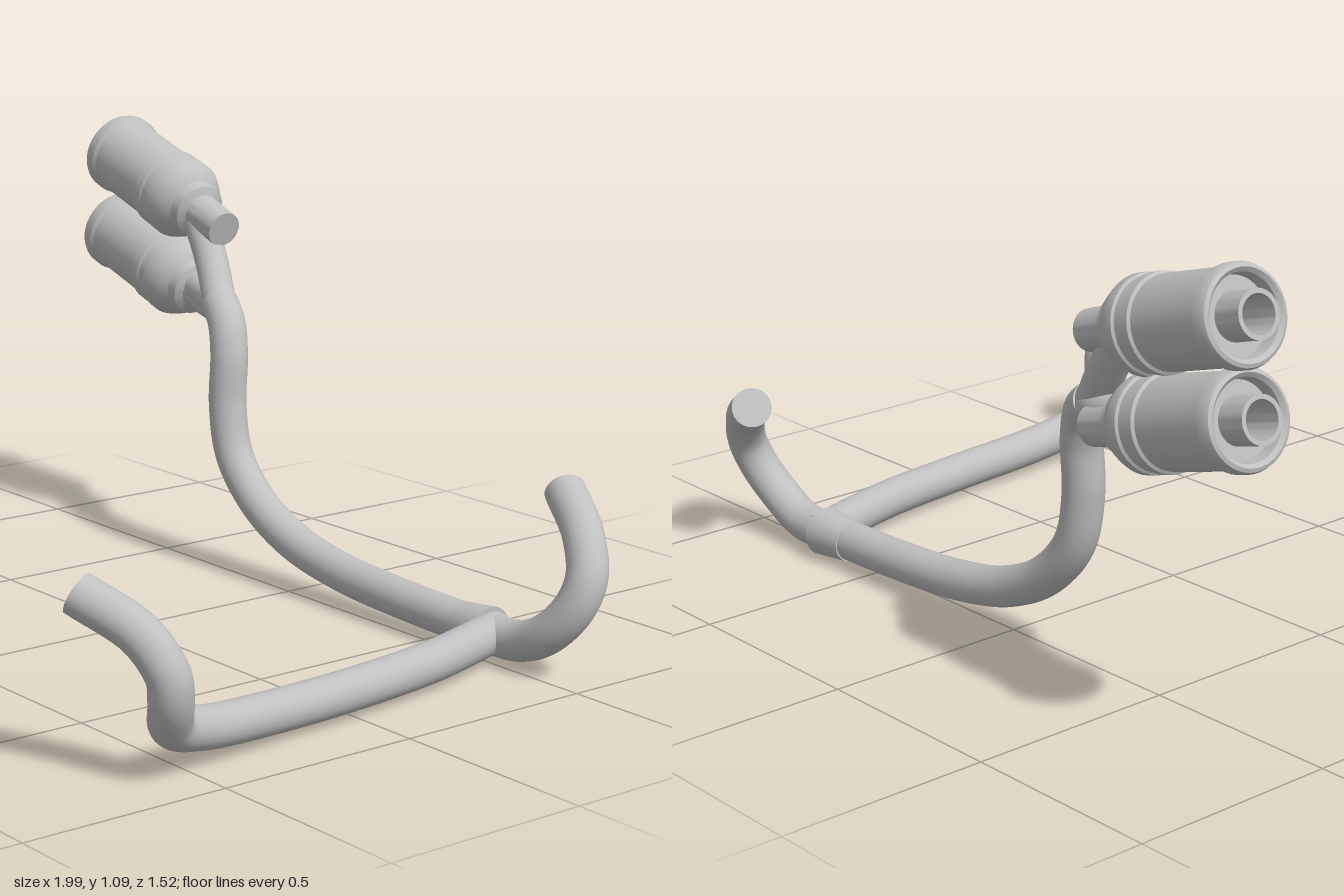
import * as THREE from 'three';
import { toCreasedNormals } from 'three/addons/utils/BufferGeometryUtils.js';

const steel = new THREE.MeshStandardMaterial({ color: 0xc0c0c0 });
steel.name = 'brushed steel';

// Round pipe through a few points, closed with a disc at each end
function pipe(name, radius, points) {
  const group = new THREE.Group();
  group.name = name;
  const curve = new THREE.CatmullRomCurve3(points.map((p) => new THREE.Vector3(...p)));
  const wall = new THREE.Mesh(new THREE.TubeGeometry(curve, 90, radius, 28), steel);
  wall.name = name + 'Wall';
  group.add(wall);
  for (const t of [0, 1]) {
    const end = curve.getPointAt(t);
    const cap = new THREE.Mesh(new THREE.CircleGeometry(radius, 28), steel);
    cap.name = name + 'End';
    cap.position.copy(end);
    cap.lookAt(end.clone().addScaledVector(curve.getTangentAt(t), t ? 1 : -1));
    group.add(cap);
  }
  return group;
}

// Silencer turned around its axis, from the hollow tail to the inlet stub: [radius, distance]
function silencer(name, tail, inlet) {
  const profile = [
    [0, 0.12], [0.041, 0.12], [0.041, 0], [0.051, 0], [0.051, 0.075],
    [0.082, 0.075], [0.086, 0.045], [0.095, 0.036], [0.103, 0.04], [0.107, 0.05],
    [0.107, 0.075], [0.1, 0.083], [0.1, 0.285], [0.106, 0.29], [0.106, 0.312],
    [0.102, 0.317], [0.102, 0.338], [0.107, 0.343], [0.107, 0.368], [0.1, 0.385],
    [0.09, 0.405], [0.074, 0.418], [0.07, 0.445], [0.05, 0.455], [0.046, 0.562], [0, 0.562],
  ].map(([r, d]) => new THREE.Vector2(r, d));
  const mesh = new THREE.Mesh(toCreasedNormals(new THREE.LatheGeometry(profile, 40), 0.6), steel);
  mesh.name = name;
  const start = new THREE.Vector3(...tail);
  const axis = new THREE.Vector3(...inlet).sub(start).normalize();
  mesh.position.copy(start);
  mesh.quaternion.setFromUnitVectors(new THREE.Vector3(0, 1, 0), axis);
  return mesh;
}

export function createModel() {
  const model = new THREE.Group();
  model.name = 'exhaustSystem';

  // Long pipe sweeping up to the silencers
  model.add(pipe('mainPipe', 0.048, [
    [0.68, 0.068, -0.53], [0.4, 0.075, -0.53], [0.16, 0.092, -0.53], [-0.02, 0.13, -0.53],
    [-0.16, 0.2, -0.53], [-0.255, 0.305, -0.528], [-0.287, 0.43, -0.53], [-0.295, 0.56, -0.54],
    [-0.325, 0.635, -0.555], [-0.385, 0.675, -0.58],
  ]));

  // Fork feeding the two silencers
  model.add(pipe('upperBranch', 0.043, [
    [-0.335, 0.645, -0.56], [-0.39, 0.685, -0.582], [-0.45, 0.75, -0.61],
    [-0.505, 0.82, -0.627], [-0.55, 0.875, -0.635],
  ]));
  model.add(pipe('lowerBranch', 0.043, [
    [-0.335, 0.645, -0.56], [-0.39, 0.668, -0.585], [-0.46, 0.675, -0.615], [-0.55, 0.69, -0.635],
  ]));
  model.add(silencer('upperSilencer', [-0.972, 1.012, -0.668], [-0.44, 0.855, -0.632]));
  model.add(silencer('lowerSilencer', [-0.984, 0.8, -0.668], [-0.44, 0.646, -0.632]));

  // Flared collar where the two header pipes meet
  const collar = new THREE.Mesh(new THREE.CylinderGeometry(0.06, 0.049, 0.11, 32), steel);
  collar.name = 'collar';
  collar.position.set(0.633, 0.068, -0.532);
  collar.rotation.z = -Math.PI / 2;
  model.add(collar);

  // Header pipes, each ending in an upward hook
  model.add(pipe('rearHeader', 0.048, [
    [0.65, 0.068, -0.53], [0.78, 0.07, -0.53], [0.87, 0.108, -0.53], [0.932, 0.18, -0.552],
    [0.943, 0.25, -0.578], [0.892, 0.33, -0.615], [0.768, 0.4, -0.678],
  ]));
  model.add(pipe('frontHeader', 0.048, [
    [0.685, 0.067, -0.55], [0.725, 0.067, -0.43], [0.77, 0.067, -0.27], [0.81, 0.067, 0],
    [0.835, 0.072, 0.27], [0.86, 0.088, 0.45], [0.888, 0.12, 0.55], [0.935, 0.19, 0.59],
    [0.943, 0.25, 0.603], [0.892, 0.33, 0.635], [0.768, 0.4, 0.702],
  ]));

  return model;
}
